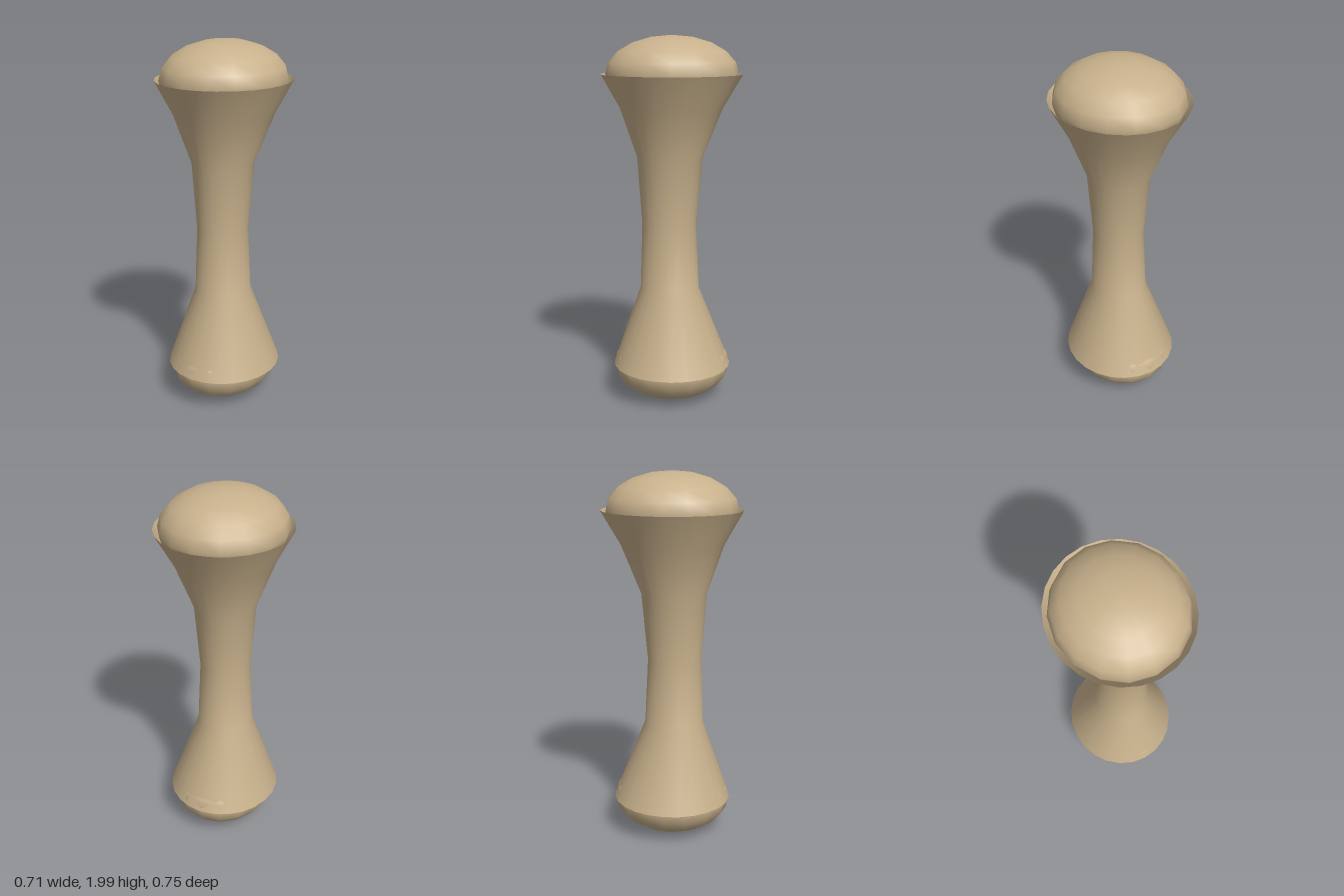
import * as THREE from 'three';
import { mergeVertices } from 'three/addons/utils/BufferGeometryUtils.js';

// Shaft rings from top to bottom: height, x radius, z radius, z offset
const RINGS = [
  [1.797, 0.353, 0.374, 0],
  [1.62, 0.262, 0.272, 0.003],
  [1.36, 0.163, 0.175, 0.011],
  [1.0, 0.135, 0.146, 0.015],
  [0.64, 0.15, 0.16, 0.012],
  [0.201, 0.305, 0.323, 0],
];

// Open flared tube: a unit cylinder whose rows take the ring sizes
function shaftGeometry() {
  const sides = 24;
  const geo = new THREE.CylinderGeometry(1, 1, 1, sides, RINGS.length - 1, true);
  const pos = geo.attributes.position;
  for (let i = 0; i < pos.count; i++) {
    const [y, rx, rz, cz] = RINGS[Math.floor(i / (sides + 1))];
    pos.setXYZ(i, pos.getX(i) * rx, y, pos.getZ(i) * rz + cz);
  }
  // Weld the seam so the shading runs smoothly around
  geo.deleteAttribute('uv');
  geo.deleteAttribute('normal');
  const welded = mergeVertices(geo);
  welded.computeVertexNormals();
  return welded;
}

export function createModel() {
  const group = new THREE.Group();
  group.name = 'bone';
  const material = new THREE.MeshStandardMaterial({ color: 0xc8b18c, side: THREE.DoubleSide });

  const shaft = new THREE.Mesh(shaftGeometry(), material);
  shaft.name = 'shaft';
  group.add(shaft);

  // Rounded joint ends, seated in the open rims of the shaft
  const ball = new THREE.SphereGeometry(1, 16, 10);
  const addEnd = (name, y, rx, ry, rz) => {
    const end = new THREE.Mesh(ball, material);
    end.name = name;
    end.position.y = y;
    end.scale.set(rx, ry, rz);
    group.add(end);
  };
  addEnd('upperJoint', 1.797, 0.33, 0.2, 0.35);
  addEnd('lowerJoint', 0.201, 0.282, 0.195, 0.321);

  return group;
}
